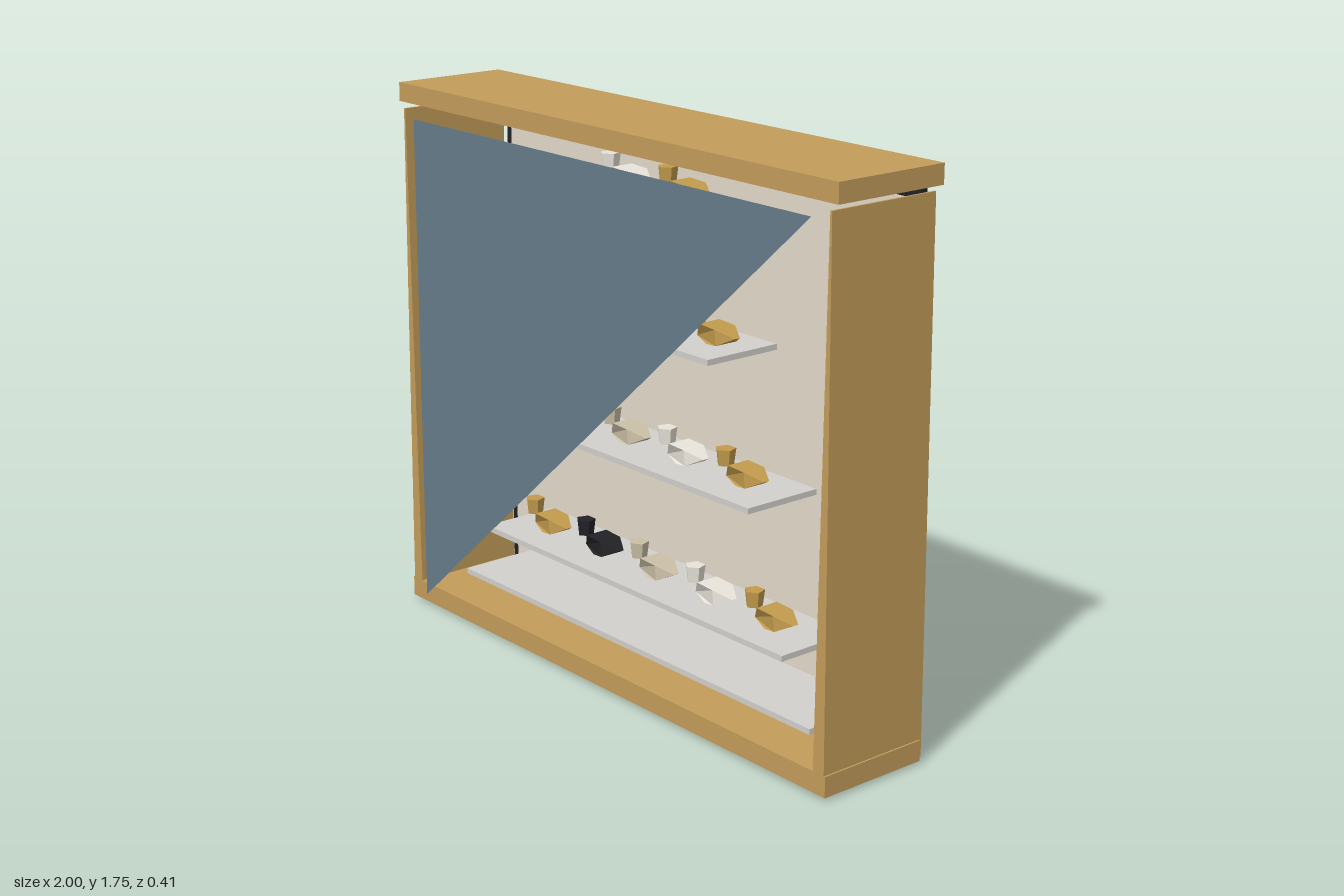
import * as THREE from 'three';

const mat = (color) => new THREE.MeshStandardMaterial({ color });
const wood = mat(0xc29c5a);
const dark = mat(0x222226);
const cream = mat(0xe2d9c8);
const silver = mat(0xd2d0cc);
const glass = mat(0x647b88);
glass.side = THREE.DoubleSide;

// Figure colours, low-poly facets
const figureColours = {
  gold: 0xc29a4c, black: 0x222226, beige: 0xcabfa6, white: 0xe8e4da,
};
const figureMats = {};
for (const [key, color] of Object.entries(figureColours)) {
  figureMats[key] = mat(color);
  figureMats[key].flatShading = true;
}

// Box given by its minimum and maximum corners
function box(name, material, [x0, y0, z0], [x1, y1, z1]) {
  const mesh = new THREE.Mesh(new THREE.BoxGeometry(x1 - x0, y1 - y0, z1 - z0), material);
  mesh.position.set((x0 + x1) / 2, (y0 + y1) / 2, (z0 + z1) / 2);
  mesh.name = name;
  return mesh;
}

// Side board: a thin wedge that narrows upwards
function sideBoard(name, side) {
  const shape = new THREE.Shape([
    new THREE.Vector2(side * 0.95, 0.02),
    new THREE.Vector2(side * 0.995, 0.02),
    new THREE.Vector2(side * 0.977, 1.67),
    new THREE.Vector2(side * 0.97, 1.67),
  ]);
  const geometry = new THREE.ExtrudeGeometry(shape, { depth: 0.385, bevelEnabled: false });
  geometry.translate(0, 0, -0.195);
  const mesh = new THREE.Mesh(geometry, wood);
  mesh.name = name;
  return mesh;
}

// Little bird: faceted flat body, pointed at the tail, and a blocky head
function bird(material) {
  const group = new THREE.Group();
  group.name = 'birdFigure';
  const outline = new THREE.Shape([
    [-0.06, 0.018], [0.015, 0.012], [0.055, 0.014], [0.105, 0.04], [0.05, 0.062], [-0.02, 0.066],
  ].map(([x, y]) => new THREE.Vector2(x, y)));
  const bodyGeometry = new THREE.ExtrudeGeometry(outline, { depth: 0.08, bevelEnabled: false });
  bodyGeometry.translate(0, 0, -0.04);
  // Pinch the tail and chest towards the middle line
  const p = bodyGeometry.attributes.position;
  for (let i = 0; i < p.count; i++) {
    const x = p.getX(i);
    p.setZ(i, p.getZ(i) * (x > 0.1 || x < -0.05 ? 0.25 : 1));
  }
  bodyGeometry.computeVertexNormals();
  const body = new THREE.Mesh(bodyGeometry, material);
  body.name = 'birdBody';
  const head = new THREE.Mesh(new THREE.CylinderGeometry(0.032, 0.026, 0.05, 5), material);
  head.position.set(-0.075, 0.072, 0);
  head.name = 'birdHead';
  group.add(body, head);
  return group;
}

export function createModel() {
  const model = new THREE.Group();
  model.name = 'displayCase';

  // Wooden frame
  model.add(box('topRail', wood, [-1, 1.69, -0.2], [1, 1.75, 0.19]));
  model.add(box('bottomRail', wood, [-1, 0.01, -0.185], [1, 0.075, 0.19]));
  model.add(sideBoard('leftSideBoard', 1), sideBoard('rightSideBoard', -1));

  // Back panel with a pale lining
  model.add(box('backPanel', dark, [-0.935, 0, -0.205], [0.935, 1.675, -0.185]));
  model.add(box('backLining', cream, [-0.905, 0.04, -0.185], [0.905, 1.64, -0.178]));

  // Three-cornered front pane
  const pane = new THREE.BufferGeometry();
  pane.setAttribute('position', new THREE.Float32BufferAttribute(
    [-0.91, 0.04, 0.2, 0.91, 1.645, 0.2, -0.91, 1.645, 0.2], 3));
  pane.computeVertexNormals();
  const paneMesh = new THREE.Mesh(pane, glass);
  paneMesh.name = 'frontPane';
  model.add(paneMesh);

  // Shelves: top height, half width, and the figures standing on each
  const shelves = [
    { y: 0.13, half: 0.83, figures: [] },
    { y: 0.315, half: 0.71, figures: ['gold', 'black', 'beige', 'white', 'gold'] },
    { y: 0.72, half: 0.56, figures: ['black', 'beige', 'white', 'gold'] },
    { y: 1.12, half: 0.38, figures: ['beige', 'white', 'gold'] },
    { y: 1.52, half: 0.23, figures: ['white', 'gold'] },
  ];
  for (const { y, half, figures } of shelves) {
    model.add(box('shelf', silver, [-half, y - 0.018, -0.178], [half, y, 0.09]));
    figures.forEach((colour, i) => {
      const figure = bird(figureMats[colour]);
      figure.position.set((i - (figures.length - 1) / 2) * 0.267, y, -0.03);
      model.add(figure);
    });
  }
  return model;
}
